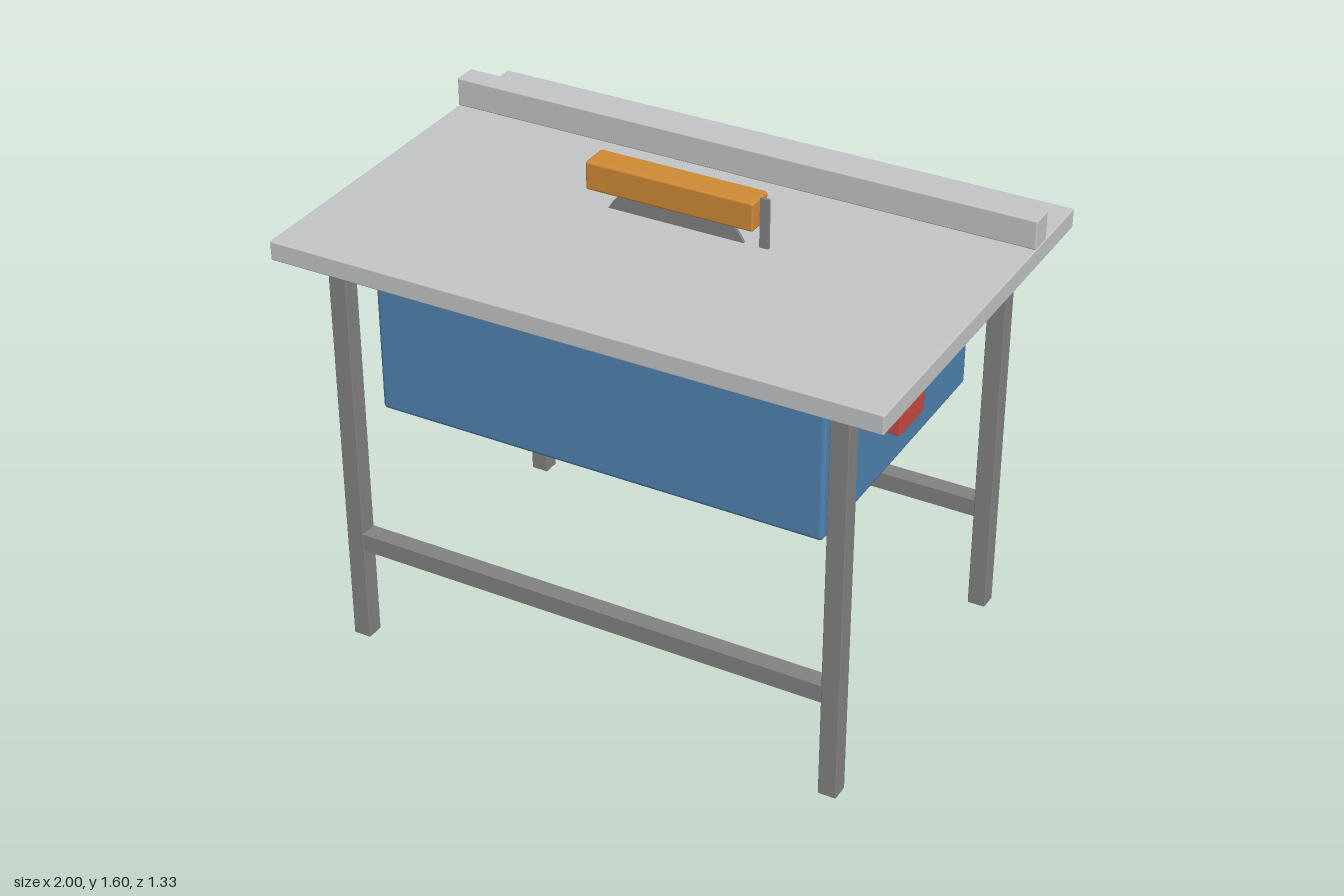
import * as THREE from 'three';
import { RoundedBoxGeometry } from 'three/addons/geometries/RoundedBoxGeometry.js';

const material = (name, color) => {
  const m = new THREE.MeshStandardMaterial({ color });
  m.name = name;
  return m;
};

export function createModel() {
  const castIron = material('light grey', 0xc3c4c6);
  const steel = material('dark grey steel', 0x828282);
  const blue = material('blue paint', 0x4f82b0);
  const orange = material('orange plastic', 0xcf8a35);
  const red = material('red plastic', 0xcb4a42);

  const group = new THREE.Group();
  group.name = 'tableSaw';

  const add = (name, geometry, mat, x, y, z) => {
    const mesh = new THREE.Mesh(geometry, mat);
    mesh.name = name;
    mesh.position.set(x, y, z);
    group.add(mesh);
    return mesh;
  };
  // Box given by its minimum and maximum corners, optionally rounded
  const box = (name, mat, [x0, y0, z0], [x1, y1, z1], radius = 0) => {
    const size = [x1 - x0, y1 - y0, z1 - z0];
    const geometry = radius
      ? new RoundedBoxGeometry(...size, 3, radius)
      : new THREE.BoxGeometry(...size);
    return add(name, geometry, mat, (x0 + x1) / 2, (y0 + y1) / 2, (z0 + z1) / 2);
  };

  // Work surface and rip fence
  box('tableTop', castIron, [-1, 1.373, -0.667], [1, 1.437, 0.667], 0.005);
  box('ripFence', castIron, [-1, 1.437, -0.447], [1, 1.533, -0.367], 0.005);

  // Motor cabinet with switch box on its left side
  box('cabinet', blue, [-0.75, 0.84, -0.5], [0.75, 1.367, 0.5], 0.015);
  box('switchBox', red, [0.745, 1.037, 0], [0.83, 1.203, 0.167], 0.004);

  // Stand: four legs, with a stretcher at the front and back
  for (const sz of [-1, 1]) {
    const z0 = sz * 0.55 - 0.03, z1 = sz * 0.55 + 0.03;
    const end = sz > 0 ? 'front' : 'back';
    for (const sx of [-1, 1]) {
      const x = sx * 0.83;
      box(end + (sx > 0 ? 'Left' : 'Right') + 'Leg', steel,
        [x - 0.03, 0, z0], [x + 0.03, 1.373, z1], 0.003);
    }
    box(end + 'Stretcher', steel, [-0.8, 0.34, z0], [0.8, 0.4, z1]);
  }

  // Circular blade rising through the table
  const blade = add('blade', new THREE.CylinderGeometry(0.263, 0.263, 0.01, 40), steel, 0, 1.31, 0);
  blade.rotation.x = Math.PI / 2;

  // Blade guard and the riving knife that carries it
  box('bladeGuard', orange, [-0.283, 1.505, -0.048], [0.281, 1.6, 0.048], 0.008);
  box('rivingKnife', steel, [0.281, 1.437, -0.005], [0.311, 1.6, 0.005]);

  return group;
}
